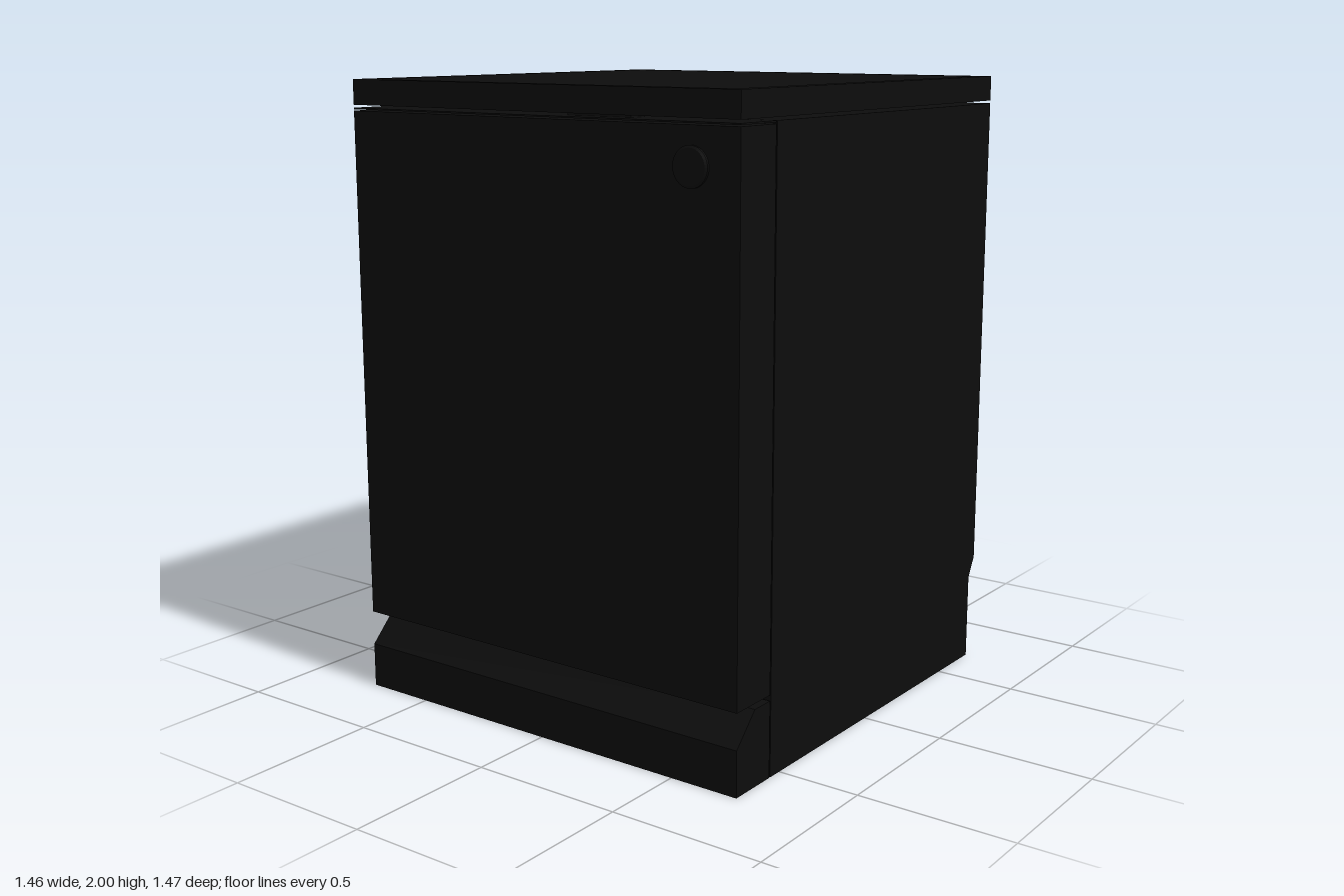
import * as THREE from 'three';

const HALF = 0.732; // half width of the cabinet

export function createModel() {
  const root = new THREE.Group();
  root.name = 'dishwasher';
  const black = new THREE.MeshStandardMaterial({ color: 0x0d0d0d });
  black.name = 'black enamel';

  const add = (name, geometry, x = 0, y = 0, z = 0) => {
    const mesh = new THREE.Mesh(geometry, black);
    mesh.name = name;
    mesh.position.set(x, y, z);
    root.add(mesh);
    return mesh;
  };

  // Box given by its limits on each axis
  const block = (name, x0, x1, y0, y1, z0, z1) =>
    add(name, new THREE.BoxGeometry(x1 - x0, y1 - y0, z1 - z0),
      (x0 + x1) / 2, (y0 + y1) / 2, (z0 + z1) / 2);

  // Side profile of [z, y] points swept across the full width
  const sweep = (name, points) => {
    const shape = new THREE.Shape(points.map(([z, y]) => new THREE.Vector2(-z, y)));
    const geometry = new THREE.ExtrudeGeometry(shape, { depth: 2 * HALF, bevelEnabled: false });
    geometry.translate(0, 0, -HALF);
    geometry.rotateY(Math.PI / 2);
    return add(name, geometry);
  };

  // Cabinet with a stepped-in lower back
  sweep('cabinet', [
    [0.549, 0], [0.549, 1.912], [-0.735, 1.912], [-0.735, 0.35], [-0.7, 0.285], [-0.7, 0],
  ]);

  // Plinth with a sloped toe edge
  sweep('plinth', [
    [0.724, 0], [0.724, 0.145], [0.632, 0.24], [0.554, 0.24], [0.554, 0],
  ]);

  // Door with a thin cap strip and a latch above it
  block('door', -HALF, HALF, 0.258, 1.903, 0.554, 0.724);
  block('doorCap', -HALF, HALF, 1.907, 1.912, 0.554, 0.724);
  block('latch', 0.1, 0.33, 1.908, 1.922, 0.615, 0.68);

  // Round button: a chamfered disc facing forward
  const buttonProfile = [[0, 0], [0.059, 0], [0.059, 0.008], [0.052, 0.012], [0, 0.012]]
    .map(([r, h]) => new THREE.Vector2(r, h));
  const buttonGeometry = new THREE.LatheGeometry(buttonProfile, 40).toNonIndexed();
  buttonGeometry.computeVertexNormals();
  buttonGeometry.rotateX(Math.PI / 2);
  add('button', buttonGeometry, 0.57, 1.79, 0.723);

  // Worktop: slab, raised border and inner panel parted by a fine groove
  block('worktopSlab', -HALF, HALF, 1.921, 1.99, -0.735, 0.724);
  const rectangle = (Type, x, z0, z1) => new Type([
    new THREE.Vector2(-x, -z1), new THREE.Vector2(x, -z1),
    new THREE.Vector2(x, -z0), new THREE.Vector2(-x, -z0),
  ]);
  const border = rectangle(THREE.Shape, HALF, -0.735, 0.724);
  border.holes.push(rectangle(THREE.Path, 0.685, -0.692, 0.681));
  const borderGeometry = new THREE.ExtrudeGeometry(border, { depth: 0.01, bevelEnabled: false });
  borderGeometry.rotateX(-Math.PI / 2);
  add('worktopBorder', borderGeometry, 0, 1.99, 0);
  block('worktopPanel', -0.681, 0.681, 1.985, 1.999, -0.688, 0.677);

  return root;
}
